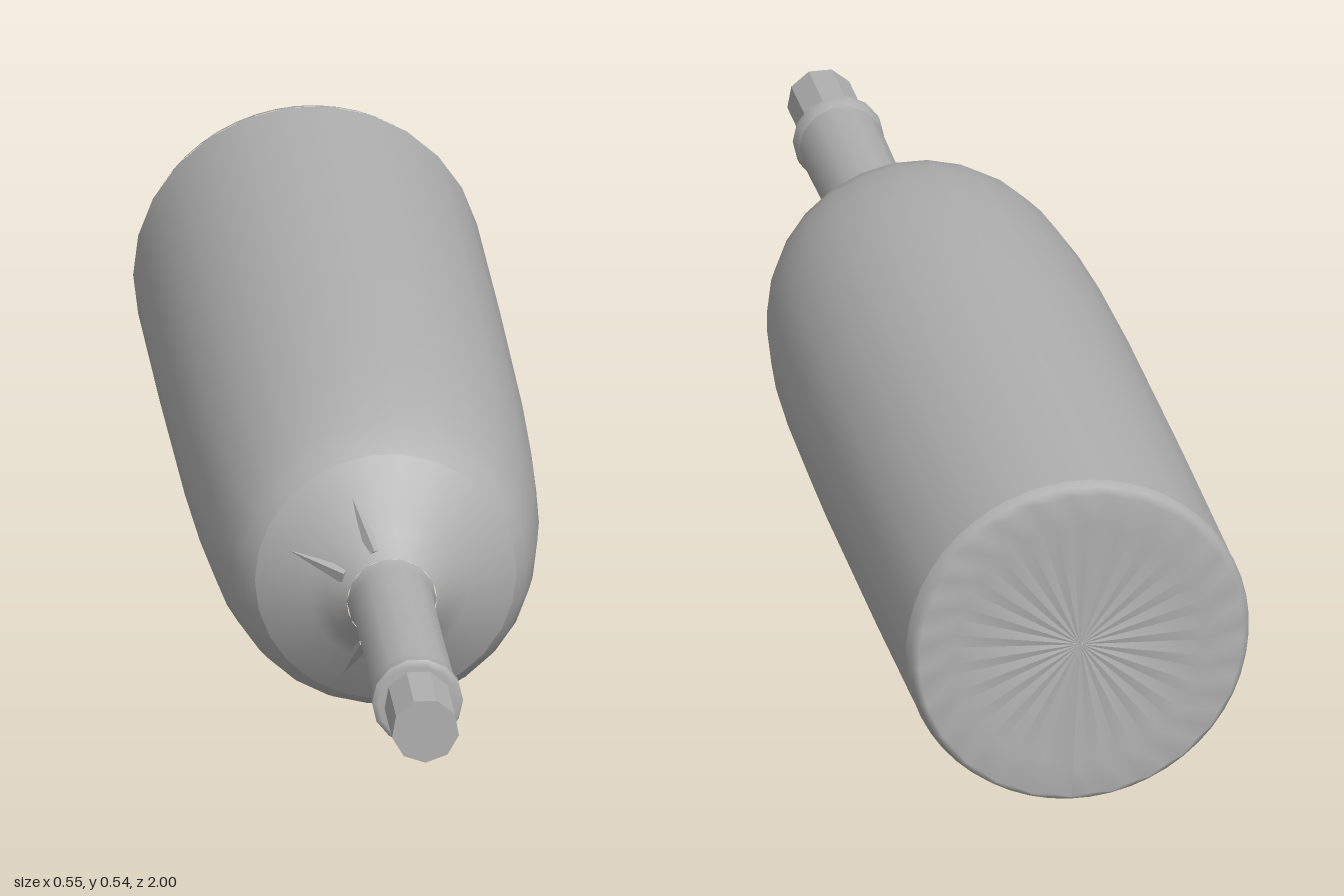
import * as THREE from 'three';

export function createModel() {
  const model = new THREE.Group();
  model.name = 'bottle';
  const AXIS = 0.273;
  const grey = new THREE.MeshStandardMaterial({ color: 0xb0b0b0 });
  grey.name = 'grey';

  // Turned part: pairs of [radius, z], listed from back to front
  function turned(name, points, segments, y = AXIS) {
    const geometry = new THREE.LatheGeometry(
      points.map(([r, z]) => new THREE.Vector2(r, z)), segments, Math.PI / segments);
    geometry.rotateX(Math.PI / 2);
    const mesh = new THREE.Mesh(geometry, grey);
    mesh.name = name;
    mesh.position.y = y;
    model.add(mesh);
    return mesh;
  }

  // Body with rounded shoulder
  turned('body', [
    [0.272, -0.97], [0.273, -0.6], [0.271, -0.2], [0.266, 0], [0.258, 0.13],
    [0.248, 0.21], [0.236, 0.27], [0.222, 0.31], [0.204, 0.335],
  ], 26);
  turned('shoulder', [
    [0.204, 0.335], [0.165, 0.363], [0.125, 0.388], [0.1, 0.405], [0.07, 0.44],
  ], 26);

  // Base with a gently scalloped rim
  const base = turned('base', [
    [0, -0.99], [0.2, -0.991], [0.257, -0.996], [0.267, -0.985], [0.272, -0.968],
  ], 52);
  const position = base.geometry.attributes.position;
  for (let i = 0; i < position.count; i++) {
    const column = Math.floor(i / 5), ring = i % 5;
    if (ring === 1 || ring === 2) {
      const wave = column % 2 ? 1 : -1;
      position.setZ(i, position.getZ(i) + wave * 0.004);
    }
  }
  base.geometry.computeVertexNormals();

  // Neck and lip
  turned('neck', [[0.07, 0.438], [0.065, 0.46], [0.064, 0.65], [0.066, 0.84]], 14);
  turned('lip', [[0.065, 0.838], [0.071, 0.852], [0.071, 0.868]], 14);
  turned('lipFace', [[0.071, 0.868], [0.062, 0.876], [0, 0.876]], 14);

  // Faceted stopper
  turned('stopper', [[0.052, 0.865], [0.052, 1]], 9, 0.276)
    .geometry = flat(new THREE.CylinderGeometry(0.053, 0.053, 0.135, 9).rotateX(Math.PI / 2).translate(0, 0, 0.9325));

  function flat(geometry) {
    const result = geometry.toNonIndexed();
    result.computeVertexNormals();
    return result;
  }

  // Thin creases running up the shoulder: [inner point, outer point]
  const creases = [
    [[-0.025, 0.345, 0.42], [-0.06, 0.43, 0.358]],
    [[-0.07, 0.31, 0.42], [-0.155, 0.335, 0.366]],
    [[-0.04, 0.2, 0.415], [-0.072, 0.117, 0.357]],
  ];
  for (const [from, to] of creases) {
    const a = new THREE.Vector3(...from), b = new THREE.Vector3(...to);
    const direction = b.clone().sub(a);
    const crease = new THREE.Mesh(
      flat(new THREE.ConeGeometry(0.014, direction.length(), 4)), grey);
    crease.name = 'shoulderCrease';
    crease.position.copy(a).add(b).multiplyScalar(0.5);
    crease.quaternion.setFromUnitVectors(new THREE.Vector3(0, 1, 0), direction.normalize());
    model.add(crease);
  }

  return model;
}
